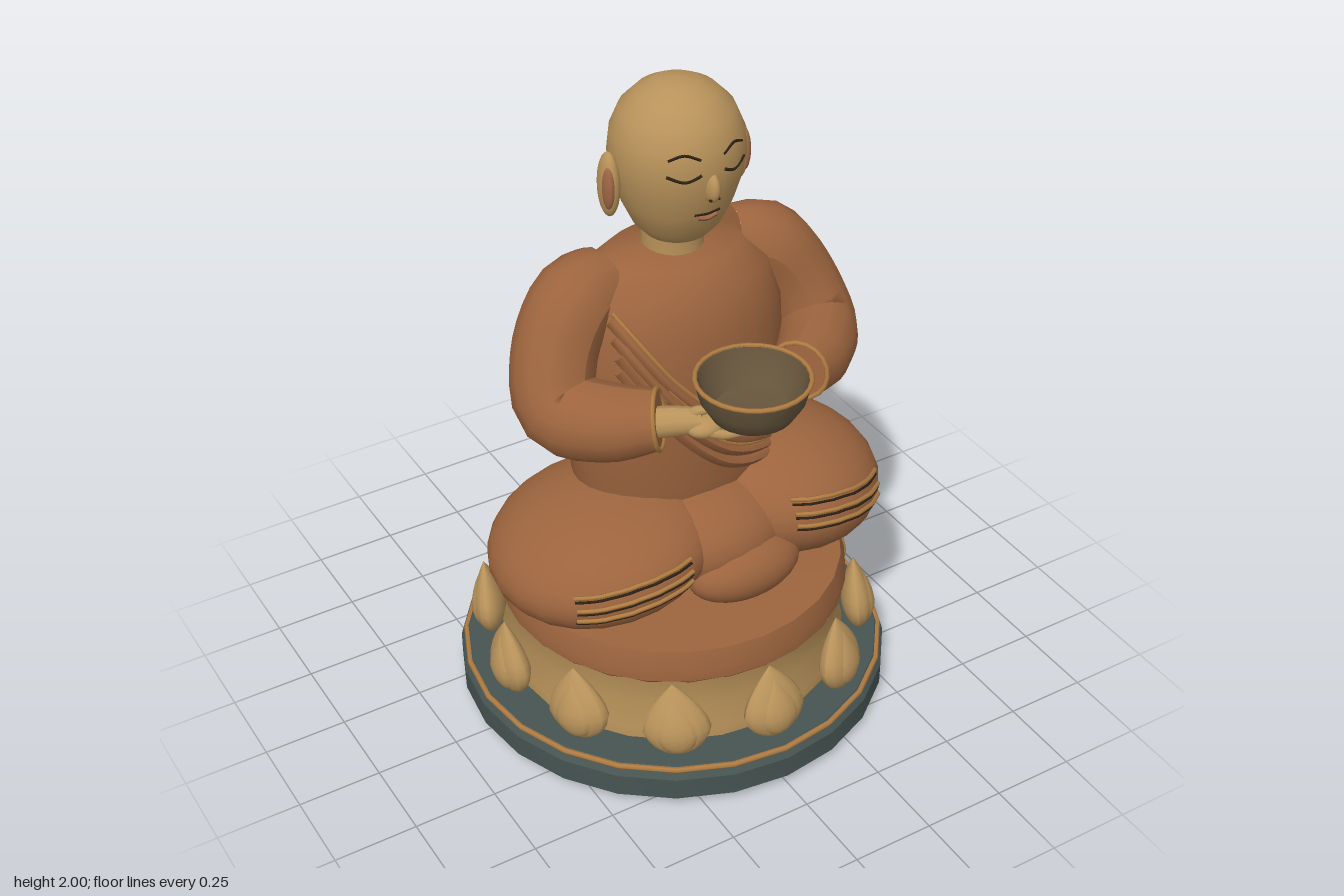
import * as THREE from 'three';
import { toCreasedNormals } from 'three/addons/utils/BufferGeometryUtils.js';

const mat = (name, color) => Object.assign(new THREE.MeshStandardMaterial({ color }), { name });
const V = (x, y, z = 0) => new THREE.Vector3(x, y, z);

export function createModel() {
  const model = new THREE.Group();
  const robe = mat('robe', 0x9c643e), skin = mat('skin', 0xb8925a), slate = mat('slate', 0x465452);
  const trim = mat('trim', 0xb07c42), clay = mat('bowlClay', 0x66553c), ink = mat('ink', 0x2c2015);
  const blush = mat('blush', 0x9e6744);

  function add(name, geometry, material, x = 0, y = 0, z = 0) {
    const mesh = new THREE.Mesh(geometry, material);
    mesh.name = name;
    mesh.position.set(x, y, z);
    model.add(mesh);
    return mesh;
  }
  // Turned part from [radius, height] pairs, bottom to top
  function turned(name, profile, material, segments = 24, crease = 0.6) {
    const g = new THREE.LatheGeometry(profile.map(p => new THREE.Vector2(...p)), segments);
    return add(name, toCreasedNormals(g, crease), material);
  }
  function blob(name, material, centre, radii) {
    const m = add(name, new THREE.SphereGeometry(1, 24, 16), material, ...centre);
    m.scale.set(...radii);
    return m;
  }
  // Tube whose radius follows a list of values along its path
  function sweep(name, points, radii, material, segments = 16, sides = 14) {
    const curve = new THREE.CatmullRomCurve3(points);
    const g = new THREE.TubeGeometry(curve, segments, 1, sides);
    const pos = g.attributes.position, v = new THREE.Vector3();
    for (let i = 0; i < pos.count; i++) {
      const u = Math.floor(i / (sides + 1)) / segments;
      const k = u * (radii.length - 1), a = Math.min(Math.floor(k), radii.length - 2);
      const r = THREE.MathUtils.lerp(radii[a], radii[a + 1], k - a);
      const c = curve.getPointAt(u);
      v.fromBufferAttribute(pos, i).sub(c).multiplyScalar(r).add(c);
      pos.setXYZ(i, v.x, v.y, v.z);
    }
    g.computeVertexNormals();
    add(name, g, material);
    for (const u of [0, 1]) {
      const c = curve.getPointAt(u), t = curve.getTangentAt(u).multiplyScalar(u ? 1 : -1);
      add(name + 'End', new THREE.CircleGeometry(radii[u ? radii.length - 1 : 0], sides), material, c.x, c.y, c.z)
        .lookAt(c.clone().add(t));
    }
    return curve;
  }
  // Thin cord laid onto the front of a mesh along an [x, y] path
  function drape(name, target, path, radius, material, lift = 0) {
    target.updateMatrixWorld(true);
    const ray = new THREE.Raycaster();
    const points = [];
    for (const p of new THREE.SplineCurve(path.map(q => new THREE.Vector2(...q))).getPoints(10)) {
      ray.set(V(p.x, p.y, 3), V(0, 0, -1));
      const hit = ray.intersectObject(target)[0];
      if (hit) points.push(hit.point.add(V(0, 0, lift)));
    }
    if (points.length > 2) sweep(name, points, [radius, radius], material, 14, 6);
  }

  // Pedestal
  turned('plinth', [[0, 0], [0.62, 0], [0.65, 0.03], [0.65, 0.1], [0.625, 0.135], [0, 0.14]], slate);
  add('plinthRing', new THREE.TorusGeometry(0.633, 0.009, 6, 24), trim, 0, 0.125).rotation.x = Math.PI / 2;
  turned('lotusDrum', [[0, 0.13], [0.52, 0.13], [0.52, 0.17], [0.5, 0.25], [0.52, 0.36], [0, 0.36]], skin);
  turned('cushion', [[0, 0.33], [0.5, 0.33], [0.522, 0.36], [0.522, 0.4], [0.505, 0.455], [0, 0.46]], robe, 28);

  // Pointed petals
  const petal = new THREE.SphereGeometry(1, 14, 12), pp = petal.attributes.position;
  for (let i = 0; i < pp.count; i++) {
    const y = pp.getY(i), k = y > -0.3 ? Math.sqrt(Math.max(0, 1 - y) / 1.3) : 1;
    pp.setXYZ(i, pp.getX(i) * 0.104 * k, y * 0.115, pp.getZ(i) * 0.05 * k);
  }
  petal.computeVertexNormals();
  for (let i = 0; i < 12; i++) {
    const a = i * Math.PI / 6;
    const p = add('petal', petal, skin, Math.sin(a) * 0.56, 0.255, Math.cos(a) * 0.56);
    p.rotation.set(-0.2, a, 0);
    const rib = new THREE.Mesh(petal, skin);
    rib.name = 'petalRib';
    rib.scale.set(0.68, 0.78, 0.8);
    rib.position.set(0, -0.012, 0.018);
    p.add(rib);
  }

  // Torso
  const torso = turned('torso', [[0, 0.52], [0.2, 0.54], [0.28, 0.66], [0.315, 0.82], [0.33, 1.0], [0.334, 1.15],
    [0.325, 1.3], [0.285, 1.42], [0.2, 1.49], [0, 1.52]], robe, 28, 1);
  torso.scale.z = 0.72;

  // Folded legs with striped knees
  const leftLeg = blob('leftLeg', robe, [0.305, 0.655, 0.08], [0.31, 0.195, 0.325]);
  leftLeg.rotation.z = -0.1;
  const rightLeg = blob('rightLeg', robe, [-0.285, 0.64, 0.08], [0.335, 0.17, 0.325]);
  rightLeg.rotation.z = 0.16;
  blob('lap', robe, [0, 0.64, 0.14], [0.28, 0.16, 0.24]);
  blob('foot', robe, [0.04, 0.575, 0.33], [0.18, 0.095, 0.1]);
  for (let i = 0; i < 3; i++) {
    const l = 0.755 - i * 0.035, r = 0.705 - i * 0.035;
    drape('leftKneeStripe', leftLeg, [[0.19, l], [0.35, l - 0.015], [0.52, l - 0.05]], 0.007, trim, 0.003);
    drape('rightKneeStripe', rightLeg, [[-0.16, r], [-0.33, r - 0.01], [-0.5, r - 0.04]], 0.007, trim, 0.003);
    drape('leftKneeCrease', leftLeg, [[0.19, l - 0.011], [0.35, l - 0.026], [0.52, l - 0.061]], 0.004, ink, 0.002);
    drape('rightKneeCrease', rightLeg, [[-0.16, r - 0.011], [-0.33, r - 0.021], [-0.5, r - 0.051]], 0.004, ink, 0.002);
  }

  // Sash: broad folds edged with fine trim
  for (let i = 0; i < 4; i++) {
    const d = i * 0.045;
    const path = e => [[-0.255, 1.385 - d - e], [-0.13, 1.19 - d - e], [0.03, 1.03 - d - e], [0.2, 0.935 - d * 0.8 - e]];
    drape('sashFold', torso, path(0), 0.023, robe, 0.004);
    if (i < 3) drape('sashTrim', torso, path(-0.022), 0.006, trim, 0.016);
  }

  // Arms and hands
  for (const s of [1, -1]) {
    const side = s > 0 ? 'left' : 'right';
    const arm = sweep(side + 'Sleeve', [V(s * 0.195, 1.425, -0.03), V(s * 0.3, 1.4, -0.01), V(s * 0.39, 1.27, 0.03),
      V(s * 0.418, 1.155, 0.1), V(s * 0.34, 1.145, 0.21), V(s * 0.225, 1.165, 0.3)],
    [0.1, 0.122, 0.122, 0.118, 0.118, 0.108, 0.085], robe, 20);
    const end = arm.getPointAt(1);
    add(side + 'CuffTrim', new THREE.TorusGeometry(0.084, 0.007, 6, 18), trim, end.x, end.y, end.z)
      .lookAt(end.clone().add(arm.getTangentAt(1)));
    sweep(side + 'Wrist', [V(s * 0.25, 1.15, 0.28), V(s * 0.19, 1.165, 0.33), V(s * 0.13, 1.17, 0.37)],
      [0.045, 0.042, 0.035], skin, 6, 12);
    blob(side + 'Palm', skin, [s * 0.125, 1.155, 0.375], [0.055, 0.03, 0.045]);
    for (let f = 0; f < 3; f++)
      sweep(side + 'Finger', [V(s * 0.13, 1.15, 0.36 + f * 0.022), V(s * 0.09, 1.14, 0.375 + f * 0.024),
        V(s * 0.05, 1.138, 0.385 + f * 0.024)], [0.015, 0.014, 0.01], skin, 5, 8);
    sweep(side + 'Thumb', [V(s * 0.16, 1.185, 0.35), V(s * 0.14, 1.205, 0.37), V(s * 0.12, 1.21, 0.385)],
      [0.017, 0.016, 0.01], skin, 5, 8);
  }

  // Bowl
  turned('bowl', [[0, 1.15], [0.07, 1.15], [0.115, 1.18], [0.145, 1.23], [0.16, 1.29], [0.15, 1.29],
    [0.132, 1.235], [0.1, 1.195], [0, 1.18]], clay, 28).position.z = 0.415;
  add('bowlRim', new THREE.TorusGeometry(0.156, 0.007, 6, 28), trim, 0, 1.288, 0.415).rotation.x = Math.PI / 2;

  // Neck and head
  turned('neck', [[0.09, 1.46], [0.086, 1.52], [0.09, 1.58]], skin);
  const head = turned('head', [[0, 1.55], [0.09, 1.555], [0.122, 1.59], [0.155, 1.66], [0.178, 1.735], [0.187, 1.8],
    [0.18, 1.86], [0.155, 1.92], [0.11, 1.966], [0.06, 1.992], [0, 2]], skin, 28, 1);
  head.position.z = 0.022;
  blob('nose', skin, [0, 1.758, 0.195], [0.02, 0.045, 0.035]);
  drape('upperLip', head, [[-0.038, 1.675], [0, 1.672], [0.038, 1.675]], 0.004, ink);
  drape('lowerLip', head, [[-0.028, 1.664], [0, 1.657], [0.028, 1.664]], 0.008, blush);
  for (const s of [1, -1]) {
    drape('closedEye', head, [[s * 0.035, 1.806], [s * 0.075, 1.79], [s * 0.118, 1.806]], 0.0045, ink);
    drape('eyebrow', head, [[s * 0.035, 1.848], [s * 0.075, 1.864], [s * 0.112, 1.85]], 0.004, ink);
    blob('nostril', ink, [s * 0.012, 1.73, 0.214], [0.005, 0.004, 0.005]);
    blob('ear', skin, [s * 0.2, 1.735, 0.008], [0.028, 0.095, 0.04]);
    blob('innerEar', blush, [s * 0.211, 1.735, 0.024], [0.016, 0.065, 0.026]);
  }
  return model;
}
